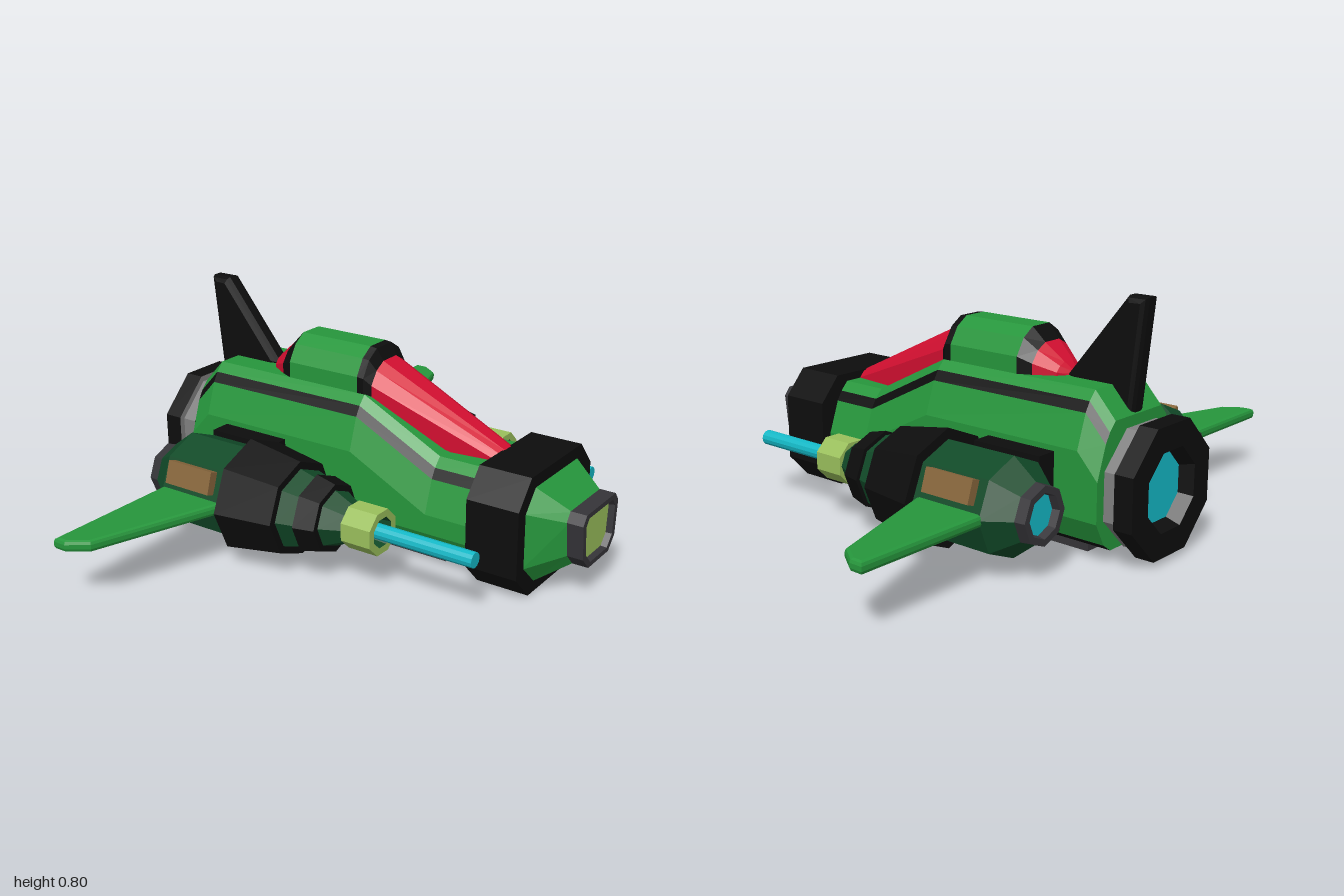
import * as THREE from 'three';

const paint = (name, color) => {
  const m = new THREE.MeshStandardMaterial({ color });
  m.name = name;
  return m;
};
const green = paint('green', 0x26963c);
const darkGreen = paint('dark green', 0x114a28);
const black = paint('black', 0x0d0d0d);
const red = paint('red', 0xd20f30);
const grey = paint('grey', 0x808080);
const darkGrey = paint('dark grey', 0x353438);
const lime = paint('pale green', 0x9abf5c);
const cyan = paint('cyan', 0x14b8c6);
const brown = paint('brown', 0x87663c);

// Cross-section at x from half-profile points [z, y] running bottom to top, mirrored in z
const ring = (x, half, s = 1, cy = 0.2) => {
  const p = half.map(([z, y]) => [x, cy + (y - cy) * s, z * s]);
  return [...p, ...p.slice().reverse().map(([a, b, c]) => [a, b, -c])];
};

// Regular polygon cross-section
const polygon = (x, r, cy, cz, n, turn) => Array.from({ length: n }, (_, i) => {
  const a = turn + (i / n) * Math.PI * 2;
  return [x, cy + r * Math.sin(a), cz + r * Math.cos(a)];
});

// Faceted skin through the rings; pick(segment, band) gives the material of each strip
function loft(name, rings, pick, backCap, frontCap) {
  const group = new THREE.Group();
  group.name = name;
  const faces = new Map();
  const tri = (mat, ...pts) => {
    if (!faces.has(mat)) faces.set(mat, []);
    faces.get(mat).push(...pts.flat());
  };
  const n = rings[0].length;
  for (let i = 0; i < rings.length - 1; i++) {
    for (let j = 0; j < n; j++) {
      const k = (j + 1) % n;
      const [a, b, c, d] = [rings[i][j], rings[i][k], rings[i + 1][k], rings[i + 1][j]];
      tri(pick(i, j), a, d, c);
      tri(pick(i, j), a, c, b);
    }
  }
  const first = rings[0], last = rings[rings.length - 1];
  for (let j = 1; j < n - 1; j++) {
    if (backCap) tri(backCap, first[0], first[j], first[j + 1]);
    if (frontCap) tri(frontCap, last[0], last[j + 1], last[j]);
  }
  for (const [mat, pos] of faces) {
    const g = new THREE.BufferGeometry();
    g.setAttribute('position', new THREE.Float32BufferAttribute(pos, 3));
    g.computeVertexNormals();
    const mesh = new THREE.Mesh(g, mat);
    mesh.name = `${name} ${mat.name}`;
    group.add(mesh);
  }
  return group;
}

// Turned part along x; each profile row is [x, radius, material of the strip that follows]
const turned = (name, rows, cy, cz, n = 8, turn = 0) =>
  loft(name, rows.map(([x, r]) => polygon(x, r, cy, cz, n, turn)), (i) => rows[i][2]);

function box(name, mat, size, pos, tilt = 0) {
  const m = new THREE.Mesh(new THREE.BoxGeometry(...size), mat);
  m.name = name;
  m.position.set(...pos);
  m.rotation.x = tilt;
  return m;
}

// Bevelled plate from an outline, centred on its thickness
function plate(points, thick, bevel) {
  const g = new THREE.ExtrudeGeometry(new THREE.Shape(points.map((p) => new THREE.Vector2(...p))), {
    depth: thick - 2 * bevel, bevelThickness: bevel, bevelSize: bevel, bevelOffset: -bevel, bevelSegments: 2,
  });
  return g.translate(0, 0, bevel - thick / 2);
}

function sidePod(s) {
  const pod = new THREE.Group();
  pod.name = s > 0 ? 'leftPod' : 'rightPod';
  const cy = 0.205, cz = s * 0.385;
  pod.add(turned('podEngine', [
    [-0.6, 0, cyan], [-0.6, 0.065, darkGrey], [-0.625, 0.07, darkGrey], [-0.625, 0.092, darkGrey],
    [-0.59, 0.096, darkGreen], [-0.51, 0.157, darkGreen], [-0.255, 0.157, black],
    [-0.255, 0.192, black], [-0.055, 0.16, black], [-0.055, 0.135, darkGreen],
    [0.01, 0.118, black], [0.01, 0.132, black], [0.08, 0.115, black],
    [0.08, 0.095, darkGreen], [0.15, 0.062, darkGreen], [0.15, 0, darkGreen],
  ], cy, cz));
  pod.add(turned('muzzle', [
    [0.15, 0, lime], [0.15, 0.075, lime], [0.258, 0.075, lime],
    [0.258, 0.05, darkGreen], [0.2, 0.045, darkGreen], [0.2, 0, darkGreen],
  ], cy, cz, 8, Math.PI / 8));
  pod.add(turned('beam', [
    [0.19, 0, cyan], [0.19, 0.025, cyan], [0.585, 0.025, cyan], [0.585, 0, cyan],
  ], cy, cz, 12));
  pod.add(box('pylon', black, [0.255, 0.26, 0.12], [-0.388, 0.205, s * 0.215]));
  pod.add(box('sidePanel', brown, [0.18, 0.075, 0.03], [-0.39, 0.28, s * 0.528], -s * Math.PI / 10));
  // Swept wing
  const wing = new THREE.Mesh(plate([
    [-0.515, s * 0.47], [-0.25, s * 0.47], [-0.265, s * 0.54], [-0.405, s * 0.955], [-0.47, s], [-0.515, s],
  ], 0.038, 0.012).rotateX(Math.PI / 2), green);
  wing.name = 'wing';
  wing.position.y = 0.203;
  pod.add(wing);
  return pod;
}

export function createModel() {
  const ship = new THREE.Group();
  ship.name = 'spaceship';

  // Hull with black trim strips along its upper and lower edges
  const hullHalf = (t) => [[0.13, 0.04], [0.165, 0.065], [0.205, 0.14], [0.205, t - 0.17],
    [0.167, t - 0.062], [0.148, t - 0.03], [0.12, t]];
  const hullTop = [[-0.675, 0.44], [-0.6, 0.522], [0.005, 0.522], [0.295, 0.375], [0.48, 0.375]];
  ship.add(loft('hull', hullTop.map(([x, t]) => ring(x, hullHalf(t))),
    (i, j) => ([0, 4, 8, 12].includes(j) ? black : green), green, green));

  // Front collar, nose cone and framed nose window
  const collar = [[0.16, 0.006], [0.24, 0.09], [0.24, 0.315], [0.165, 0.402]];
  ship.add(loft('collar', [ring(0.465, collar), ring(0.645, collar)], () => black, black, black));
  const noseBase = [[0.13, 0.04], [0.2, 0.11], [0.2, 0.295], [0.14, 0.365]];
  const noseTip = [[0.07, 0.108], [0.11, 0.15], [0.122, 0.265], [0.1, 0.295]];
  ship.add(loft('nose', [ring(0.64, noseBase), ring(0.75, noseTip, 0.97)], () => green, null, green));
  ship.add(loft('noseWindow', [
    ring(0.745, noseTip), ring(0.8, noseTip), ring(0.8, noseTip, 0.83), ring(0.78, noseTip, 0.8),
  ], () => darkGrey, darkGrey, lime));

  // Canopy: red glass fore and aft, green roof, black frames
  const canopy = [ // x, base, top, half width, material of the strip that follows
    [-0.44, 0.5, 0.53, 0.015, red], [-0.41, 0.49, 0.56, 0.06, red], [-0.345, 0.47, 0.615, 0.1, black],
    [-0.3, 0.45, 0.66, 0.12, green], [-0.025, 0.45, 0.66, 0.12, black], [0, 0.45, 0.657, 0.12, black],
    [0.022, 0.45, 0.617, 0.105, red], [0.475, 0.33, 0.4, 0.055, red],
  ];
  ship.add(loft('canopy', canopy.map(([x, b, t, w]) => {
    const h = t - b;
    return ring(x, [[w, b], [w, b + 0.6 * h], [0.72 * w, b + 0.86 * h], [0.35 * w, t]]);
  }), (i) => canopy[i][4], red, red));

  // Tail fin
  const fin = new THREE.Mesh(plate([
    [-0.665, 0.38], [-0.55, 0.42], [-0.425, 0.525], [-0.64, 0.795], [-0.71, 0.795],
  ], 0.07, 0.02), black);
  fin.name = 'tailFin';
  ship.add(fin);

  // Main thruster
  ship.add(turned('mainThruster', [
    [-0.755, 0, cyan], [-0.755, 0.115, black], [-0.8, 0.135, black], [-0.8, 0.222, black],
    [-0.735, 0.222, grey], [-0.735, 0.2, grey], [-0.685, 0.2, black], [-0.685, 0.18, black], [-0.66, 0.18, black],
  ], 0.225, 0, 8, Math.PI / 8));

  for (const s of [1, -1]) {
    ship.add(sidePod(s));
    ship.add(box('landingRail', darkGrey, [0.88, 0.05, 0.075], [-0.13, 0.025, s * 0.06]));
  }
  return ship;
}
